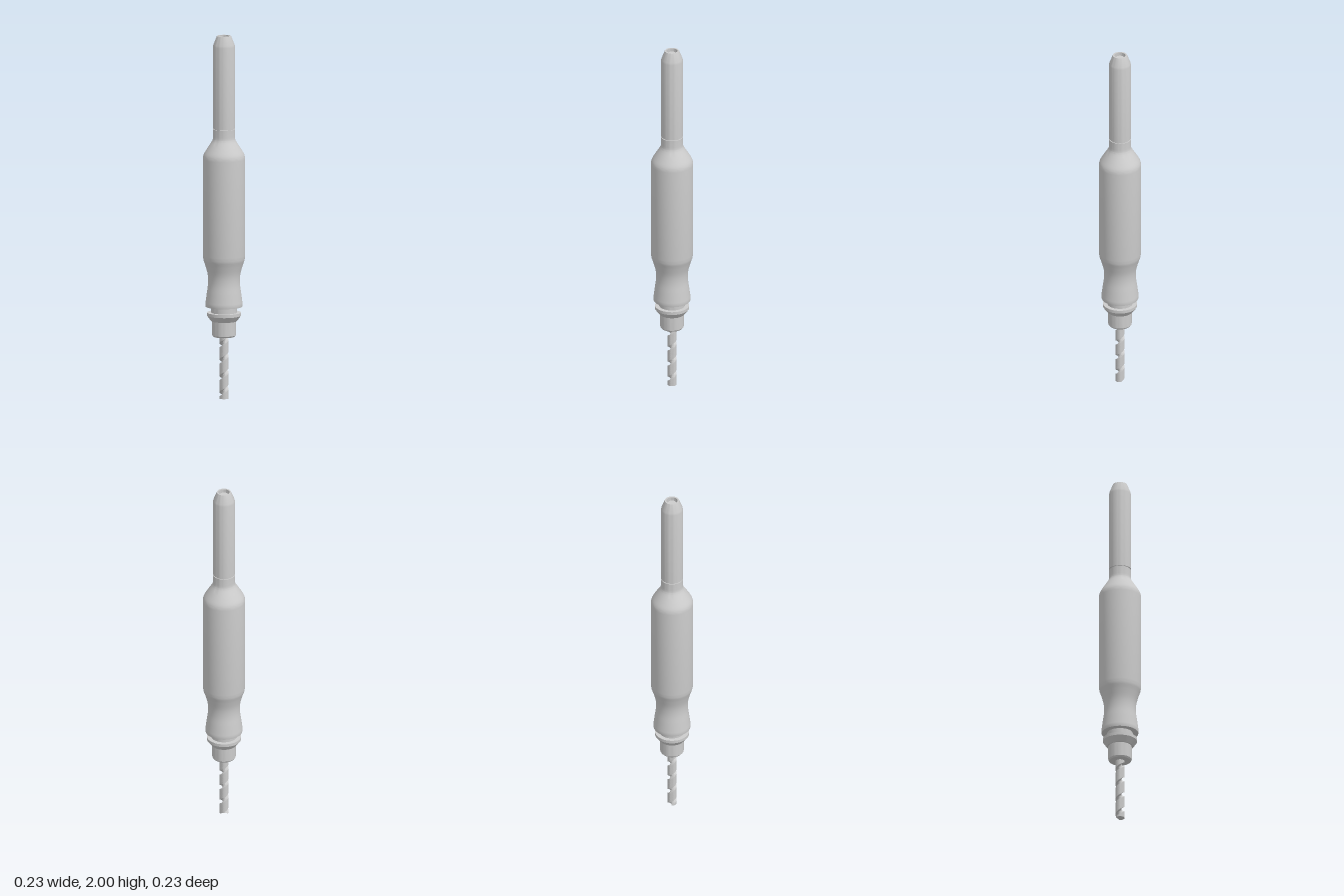
import * as THREE from 'three';
import { toCreasedNormals } from 'three/addons/utils/BufferGeometryUtils.js';

const material = new THREE.MeshStandardMaterial({ color: 0xcccccc });

function addPart(group, name, geometry, crease = 0.45) {
  const mesh = new THREE.Mesh(toCreasedNormals(geometry, crease), material);
  mesh.name = name;
  group.add(mesh);
}

// Turned part from [radius, height] pairs, bottom to top
function turned(profile) {
  return new THREE.LatheGeometry(profile.map(([r, y]) => new THREE.Vector2(r, y)), 48);
}

// Smooth run of profile points through a few [radius, height] pairs
function smooth(points, count = 14) {
  const curve = new THREE.SplineCurve(points.map(([r, y]) => new THREE.Vector2(r, y)));
  return curve.getPoints(count).map((p) => [p.x, p.y]);
}

// Rod with a single flute, twisted into a right-hand helix
function twistedBit(radius, height, pitch) {
  const half = 0.9;
  const shape = new THREE.Shape();
  shape.absarc(0, 0, radius, half, Math.PI * 2 - half, false);
  shape.quadraticCurveTo(0.002, 0, radius * Math.cos(half), radius * Math.sin(half));
  const geometry = new THREE.ExtrudeGeometry(shape, {
    depth: height, steps: 90, curveSegments: 20, bevelEnabled: false,
  });
  geometry.rotateX(-Math.PI / 2);
  const pos = geometry.attributes.position;
  const v = new THREE.Vector3();
  const axis = new THREE.Vector3(0, 1, 0);
  for (let i = 0; i < pos.count; i++) {
    v.fromBufferAttribute(pos, i);
    v.applyAxisAngle(axis, -Math.PI / 2 + (2 * Math.PI * (v.y - 0.215)) / pitch);
    pos.setXYZ(i, v.x, v.y, v.z);
  }
  return geometry;
}

export function createModel() {
  const group = new THREE.Group();

  addPart(group, 'drillBit', twistedBit(0.025, 0.36, 0.09), 0.6);

  // Chuck with flared collar and neck running up into the handle
  addPart(group, 'chuck', turned([
    [0, 0.342], [0.058, 0.342], [0.064, 0.35], [0.064, 0.428], [0.07, 0.428],
    [0.093, 0.458], [0.093, 0.475], [0.07, 0.475], [0.07, 0.515],
  ]));

  // Waisted grip, straight barrel and tapered shoulder
  addPart(group, 'handle', turned([
    [0, 0.508], [0.1, 0.508],
    ...smooth([[0.102, 0.52], [0.094, 0.58], [0.087, 0.635], [0.089, 0.685], [0.102, 0.735], [0.112, 0.765], [0.115, 0.79]], 24),
    [0.115, 1.32],
    ...smooth([[0.114, 1.335], [0.108, 1.352], [0.09, 1.382], [0.067, 1.418], [0.061, 1.432]], 12),
    [0.06, 1.445], [0.06, 1.486], [0.055, 1.486], [0.055, 1.492],
  ]));

  // Upper sleeve with chamfered, recessed end
  addPart(group, 'sleeve', turned([
    [0.055, 1.491], [0.06, 1.491], [0.06, 1.94], [0.058, 1.952], [0.039, 2],
    [0.03, 2], [0.03, 1.975], [0.022, 1.975], [0.022, 1.985], [0, 1.985],
  ]));

  return group;
}
